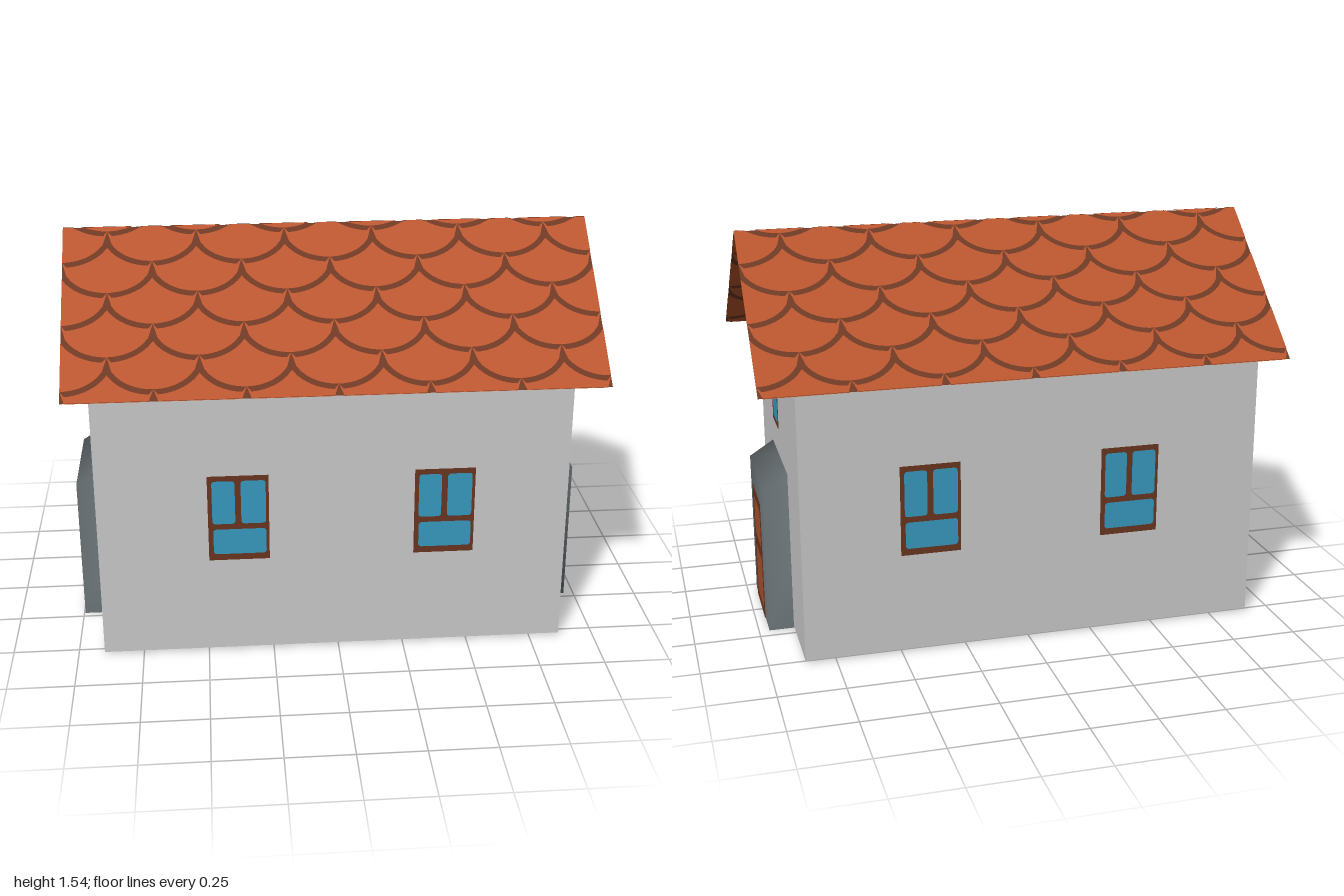
import * as THREE from 'three';

const mat = (name, color) => {
  const m = new THREE.MeshStandardMaterial({ color, side: THREE.DoubleSide });
  m.name = name;
  return m;
};

const wallMat = mat('plaster', 0xcbcbcb);
const tileMat = mat('roof tile', 0xba562f);
const gapMat = mat('tile gap', 0x6f3a25);
const frameMat = mat('dark wood', 0x6b3520);
const glassMat = mat('window glass', 0x389bc0);
const doorMat = mat('door panel', 0xad512d);
const porchMat = mat('porch stone', 0x6b7376);

function add(parent, name, geometry, material) {
  const mesh = new THREE.Mesh(geometry, material);
  mesh.name = name;
  parent.add(mesh);
  return mesh;
}

function roundedRect(path, x0, y0, x1, y1, r) {
  path.moveTo(x0 + r, y0);
  path.lineTo(x1 - r, y0).quadraticCurveTo(x1, y0, x1, y0 + r);
  path.lineTo(x1, y1 - r).quadraticCurveTo(x1, y1, x1 - r, y1);
  path.lineTo(x0 + r, y1).quadraticCurveTo(x0, y1, x0, y1 - r);
  path.lineTo(x0, y0 + r).quadraticCurveTo(x0, y0, x0 + r, y0);
  return path;
}

// Flat frame with rounded openings filled by panes; origin at bottom centre, facing +z
function panel(name, w, h, panes, paneMat) {
  const g = new THREE.Group();
  g.name = name;
  const frame = new THREE.Shape([[0, 0], [w, 0], [w, h], [0, h]].map(p => new THREE.Vector2(...p)));
  const r = 0.014;
  for (const p of panes) frame.holes.push(roundedRect(new THREE.Path(), ...p, r));
  const fills = panes.map(p => roundedRect(new THREE.Shape(), ...p, r));
  add(g, name + 'Frame', new THREE.ShapeGeometry(frame, 5), frameMat).position.x = -w / 2;
  add(g, name + 'Panes', new THREE.ShapeGeometry(fills, 5), paneMat).position.x = -w / 2;
  return g;
}

const sideWindow = () => panel('sideWindow', 0.226, 0.346,
  [[0.016, 0.15, 0.101, 0.325], [0.123, 0.15, 0.215, 0.325], [0.018, 0.025, 0.215, 0.128]], glassMat);
const gableWindow = () => panel('gableWindow', 0.167, 0.278, [[0.02, 0.018, 0.146, 0.258]], glassMat);
const door = () => panel('door', 0.253, 0.485,
  [[0.037, 0.033, 0.22, 0.24], [0.037, 0.289, 0.22, 0.443]], doorMat);

// Porch shell: front, sides and sloping top with shared, softly shaded corners
function porchGeometry(halfW, inner, outer, innerTop, outerTop) {
  const pos = [];
  for (const [z, top] of [[outer, outerTop], [inner, innerTop]])
    pos.push(-halfW, 0, z, halfW, 0, z, halfW, top, z, -halfW, top, z);
  const g = new THREE.BufferGeometry();
  g.setAttribute('position', new THREE.Float32BufferAttribute(pos, 3));
  g.setIndex([0, 1, 2, 0, 2, 3, 1, 5, 6, 1, 6, 2, 4, 0, 3, 4, 3, 7, 3, 2, 6, 3, 6, 7]);
  g.computeVertexNormals();
  return g;
}

// Overlapping fish-scale tiles on a flat slope; y runs from the eave (0) to the ridge (len)
function scaleGeometry(len) {
  const a = 1 / 6, h = len / 5.5, gap = 0.022, steps = 20;
  const pos = [], idx = [];
  for (let row = 0; row <= 6; row++) {
    for (let c = -1; c <= 6; c++) {
      const cx = -1 + a + c * 2 * a + (row % 2) * a;
      const cy = (row + 0.35) * h;
      const start = pos.length / 3;
      for (let i = 0; i <= steps; i++) {
        const x = -a + 2 * a * i / steps;
        const low = -h * Math.sqrt(Math.max(0, 1 - (x / a) ** 2));
        const high = h - (h + gap) * Math.sqrt(1 - ((a - Math.abs(x)) / (a + gap)) ** 2);
        const px = THREE.MathUtils.clamp(cx + x, -1, 1);
        const y0 = THREE.MathUtils.clamp(cy + low, 0, len);
        const y1 = THREE.MathUtils.clamp(cy + Math.max(low, high), 0, len);
        pos.push(px, y0, 0, px, y1, 0);
        if (i < steps) {
          const k = start + i * 2;
          idx.push(k, k + 2, k + 3, k, k + 3, k + 1);
        }
      }
    }
  }
  const g = new THREE.BufferGeometry();
  g.setAttribute('position', new THREE.Float32BufferAttribute(pos, 3));
  g.setAttribute('normal', new THREE.Float32BufferAttribute(pos.map((_, i) => (i % 3 === 2 ? 1 : 0)), 3));
  g.setIndex(idx);
  return g;
}

export function createModel() {
  const model = new THREE.Group();
  model.name = 'house';
  const xMid = -0.0175, zMid = 0.01;
  const halfL = 0.8825, halfW = 0.53, base = 0.01, eave = 1.066, peak = 1.512;

  // Long walls, each with two windows standing slightly proud
  for (const s of [1, -1]) {
    const side = new THREE.Group();
    side.name = s > 0 ? 'frontSide' : 'backSide';
    side.rotation.y = s > 0 ? 0 : Math.PI;
    const wall = add(side, 'longWall', new THREE.PlaneGeometry(halfL * 2, eave - base), wallMat);
    wall.position.set(s * xMid, (eave + base) / 2, halfW + s * zMid);
    for (const x of [-0.375, 0.392]) {
      const w = sideWindow();
      w.position.set(s * x, 0.41, s > 0 ? 0.574 : 0.566);
      side.add(w);
    }
    model.add(side);
  }

  // Gable ends with window, porch and door
  const gable = new THREE.Shape([[-halfW, base], [halfW, base], [halfW, eave], [0, peak], [-halfW, eave]]
    .map(p => new THREE.Vector2(...p)));
  for (const s of [1, -1]) {
    const end = new THREE.Group();
    end.name = s > 0 ? 'leftEnd' : 'rightEnd';
    end.position.set(xMid, 0, zMid);
    end.rotation.y = s * Math.PI / 2;
    add(end, 'gableWall', new THREE.ShapeGeometry(gable), wallMat).position.z = halfL;
    add(end, 'porch', porchGeometry(0.215, 0.7225, 0.978, 0.738, 0.575), porchMat);
    const w = gableWindow();
    w.position.set(-s * 0.007, 0.769, halfL + 0.009);
    const d = door();
    d.position.set(0, 0.006, 0.982);
    end.add(w, d);
    model.add(end);
  }

  // Thin roof slopes with scale tiles on both faces
  const run = 0.572, rise = 0.48, len = Math.hypot(run, rise);
  const tiles = scaleGeometry(len);
  for (const s of [1, -1]) {
    const slope = new THREE.Group();
    slope.name = s > 0 ? 'frontRoof' : 'backRoof';
    slope.rotation.order = 'YXZ';
    slope.rotation.y = s > 0 ? 0 : Math.PI;
    slope.rotation.x = -Math.atan2(run, rise);
    slope.position.set(0, 1.055, -0.011 + s * run);
    add(slope, 'roofSheet', new THREE.PlaneGeometry(2, len), gapMat).position.y = len / 2;
    add(slope, 'roofTilesTop', tiles, tileMat).position.z = 0.003;
    add(slope, 'roofTilesUnderside', tiles, tileMat).position.z = -0.003;
    model.add(slope);
  }
  return model;
}
